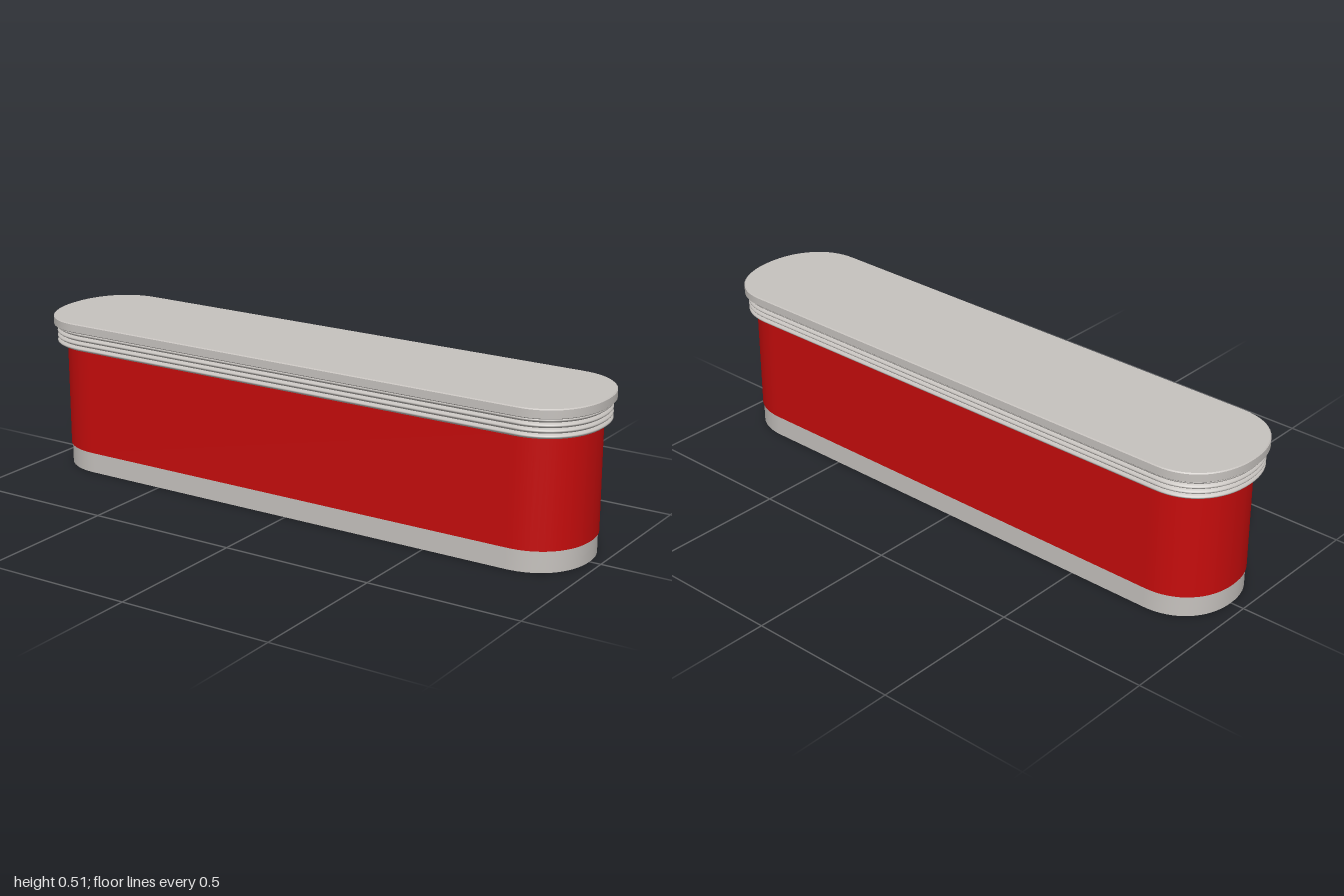
import * as THREE from 'three';

const grey = new THREE.MeshStandardMaterial({ name: 'light grey', color: 0xc6c2be });
const red = new THREE.MeshStandardMaterial({ name: 'red', color: 0xc60c0c });

// Long outline with straight sides and rounded, slightly squared ends
function outline(halfX, halfZ, endLength = 0.185, steps = 32, power = 2.15) {
  const points = [];
  const curve = v => Math.sign(v) * Math.abs(v) ** (2 / power);
  for (const side of [1, -1]) {
    for (let i = 0; i <= steps; i++) {
      const a = -Math.PI / 2 + (i / steps) * Math.PI;
      const x = halfX - endLength + endLength * curve(Math.cos(a));
      points.push([side * x, side * halfZ * curve(Math.sin(a))]);
    }
  }
  return points;
}

// Joins rows of [halfX, halfZ, y], bottom to top; each strip keeps its own smooth normals
function stack(strips) {
  const pos = [], index = [];
  for (const rows of strips) {
    const start = pos.length / 3;
    let n = 0;
    for (const [hx, hz, y] of rows) {
      const loop = outline(hx, hz);
      n = loop.length;
      loop.forEach(([x, z]) => pos.push(x, y, z));
    }
    for (let r = 0; r < rows.length - 1; r++) {
      for (let i = 0; i < n; i++) {
        const a = start + r * n + i, b = start + r * n + (i + 1) % n;
        index.push(a, a + n, b, b, a + n, b + n);
      }
    }
  }
  // Flat bottom and top
  const first = strips[0][0], last = strips.at(-1).at(-1);
  for (const [[hx, hz, y], up] of [[first, false], [last, true]]) {
    const c = pos.length / 3, loop = outline(hx, hz), n = loop.length;
    pos.push(0, y, 0);
    loop.forEach(([x, z]) => pos.push(x, y, z));
    for (let i = 0; i < n; i++) {
      const a = c + 1 + i, b = c + 1 + (i + 1) % n;
      if (up) index.push(c, b, a);
      else index.push(c, a, b);
    }
  }
  const g = new THREE.BufferGeometry();
  g.setAttribute('position', new THREE.Float32BufferAttribute(pos, 3));
  g.setIndex(index);
  g.computeVertexNormals();
  return g;
}

export function createModel() {
  const model = new THREE.Group();
  const add = (name, strips, material, x = 0) => {
    const mesh = new THREE.Mesh(stack(strips), material);
    mesh.name = name;
    mesh.position.x = x;
    model.add(mesh);
  };

  // Grey foot and red body
  add('base', [[[0.959, 0.188, 0], [0.959, 0.188, 0.068]]], grey, 0.004);
  add('body', [[[0.963, 0.189, 0.068], [0.963, 0.189, 0.42]]], red, 0.004);

  // Ribbed collar: four rounded ridges
  const ribs = 4, low = 0.418, high = 0.484, pitch = (high - low) / ribs;
  const ridges = [];
  for (let r = 0; r < ribs; r++) {
    const rows = [];
    for (let i = 0; i <= 8; i++) {
      const bulge = 0.008 * Math.sin((i / 8) * Math.PI);
      rows.push([0.984 + bulge, 0.198 + bulge, low + (r + i / 8) * pitch]);
    }
    ridges.push(rows);
  }
  add('ribbedCollar', ridges, grey);

  // Lid with a fine bevel on both edges
  add('lid', [
    [[0.997, 0.213, 0.482], [1, 0.216, 0.485]],
    [[1, 0.216, 0.485], [1, 0.216, 0.51]],
    [[1, 0.216, 0.51], [0.997, 0.213, 0.513]],
  ], grey);

  return model;
}
